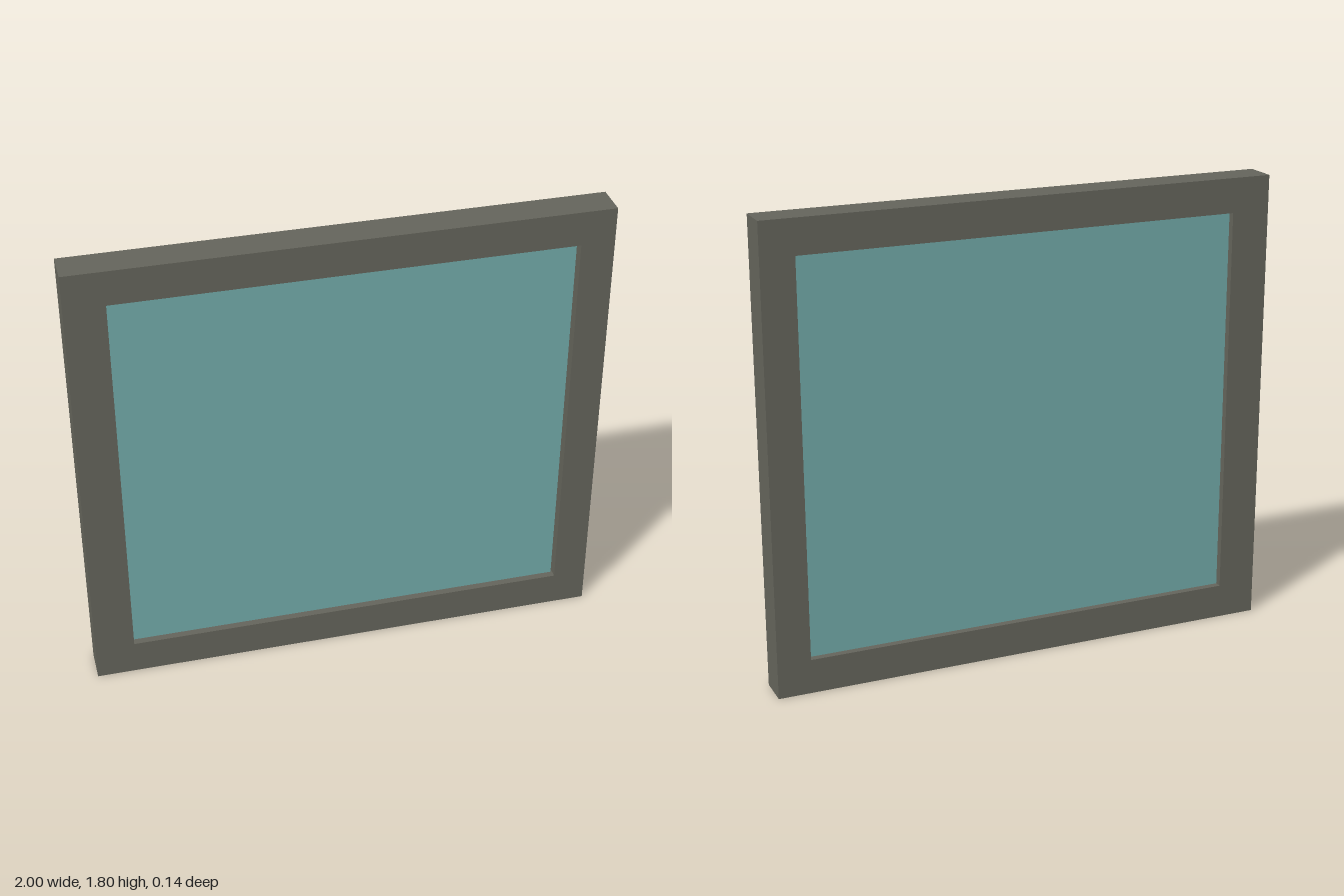
import * as THREE from 'three';

export function createModel() {
  const model = new THREE.Group();
  model.name = 'framedWindow';
  const frameMat = new THREE.MeshStandardMaterial({ name: 'darkGreyFrame', color: 0x64645b });
  const glassMat = new THREE.MeshStandardMaterial({ name: 'tealGlass', color: 0x72aaa9 });

  const height = 1.797, depth = 0.13;
  const left = -0.849, right = 0.871, bottom = 0.134, top = 1.663;

  // Frame: a rectangle with a rectangular opening, extruded to its depth
  const outline = new THREE.Shape([
    new THREE.Vector2(-1, 0), new THREE.Vector2(1, 0),
    new THREE.Vector2(1, height), new THREE.Vector2(-1, height),
  ]);
  outline.holes.push(new THREE.Path([
    new THREE.Vector2(left, bottom), new THREE.Vector2(left, top),
    new THREE.Vector2(right, top), new THREE.Vector2(right, bottom),
  ]));
  const frameGeo = new THREE.ExtrudeGeometry(outline, { depth, bevelEnabled: false });
  frameGeo.translate(0, 0, -depth / 2);
  const frame = new THREE.Mesh(frameGeo, frameMat);
  frame.name = 'frame';
  model.add(frame);

  // Glass: recessed on both sides, with a hairline gap at its +x edge
  const glassRight = right - 0.006;
  const glass = new THREE.Mesh(
    new THREE.BoxGeometry(glassRight - left, top - bottom, 0.075), glassMat);
  glass.name = 'glassPane';
  glass.position.set((left + glassRight) / 2, (top + bottom) / 2, 0);
  model.add(glass);

  // The whole window stands turned very slightly about the vertical
  model.rotation.y = -0.007;
  return model;
}
